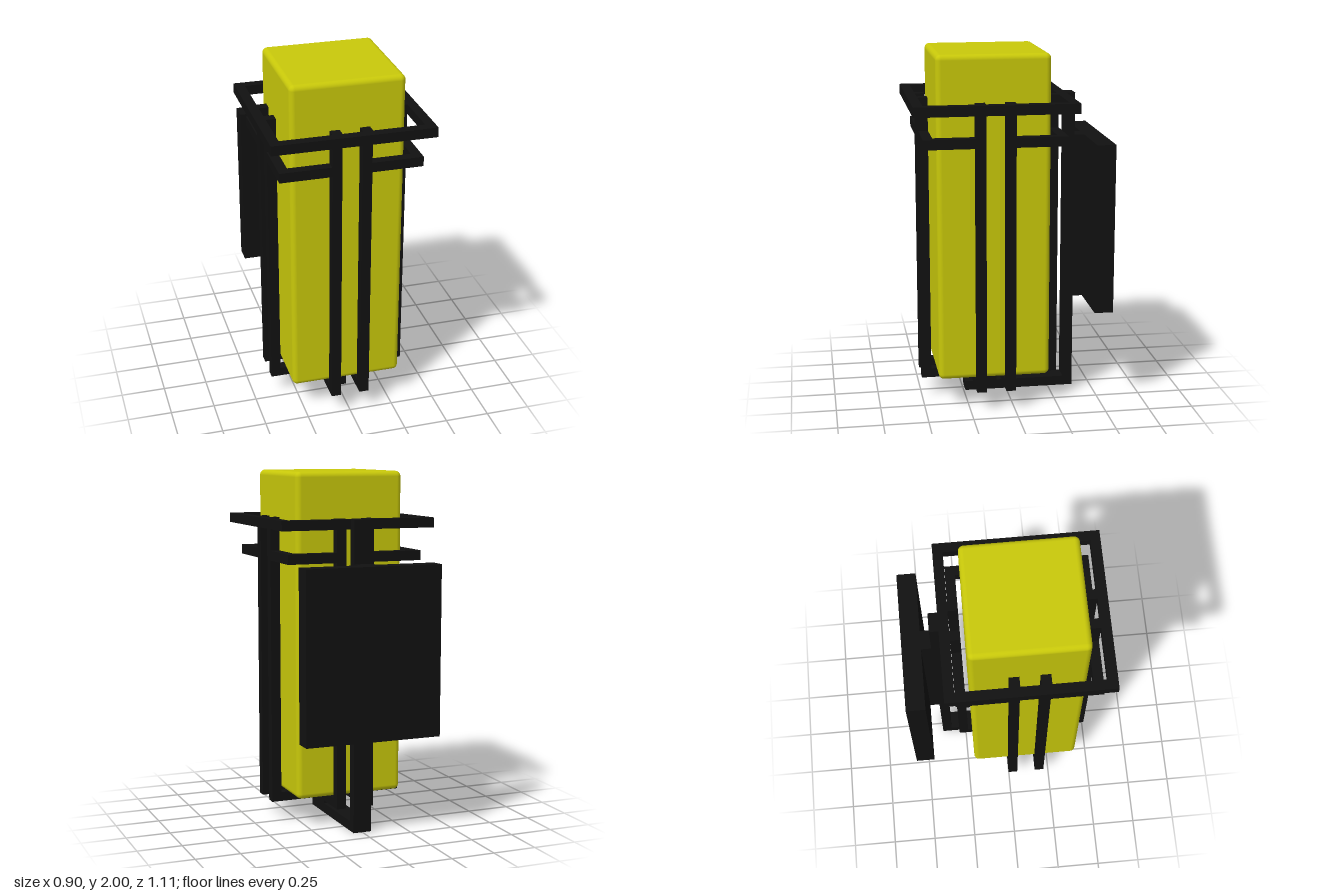
import * as THREE from 'three';
import { RoundedBoxGeometry } from 'three/addons/geometries/RoundedBoxGeometry.js';

const black = new THREE.MeshStandardMaterial({ color: 0x111111 });
const yellow = new THREE.MeshStandardMaterial({ color: 0xc8c80a });

// Bar given by its extents on each axis
function bar(parent, name, [x0, x1], [y0, y1], [z0, z1]) {
  const mesh = new THREE.Mesh(new THREE.BoxGeometry(x1 - x0, y1 - y0, z1 - z0), black);
  mesh.name = name;
  mesh.position.set((x0 + x1) / 2, (y0 + y1) / 2, (z0 + z1) / 2);
  parent.add(mesh);
}

export function createModel() {
  const model = new THREE.Group();
  model.name = 'wallLantern';

  // Lantern body is centred forward of the wall plate
  const lantern = new THREE.Group();
  lantern.name = 'lantern';
  lantern.position.z = 0.105;
  model.add(lantern);

  const shade = new THREE.Mesh(new RoundedBoxGeometry(0.63, 1.83, 0.63, 4, 0.03), yellow);
  shade.name = 'glassShade';
  shade.position.y = 1.085;
  lantern.add(shade);

  // One side of the cage, repeated around the four faces
  for (let i = 0; i < 4; i++) {
    const side = new THREE.Group();
    side.name = 'cageSide';
    side.rotation.y = i * Math.PI / 2;
    lantern.add(side);
    bar(side, 'topRing', [-0.395, 0.45], [1.69, 1.745], [0.395, 0.45]);
    for (const [a, b] of [[-0.11, -0.055], [0.055, 0.11]]) {
      bar(side, 'post', [a, b], [0.115, 1.745], [0.34, 0.395]);
    }
    // Corner brackets stop at the posts, leaving the middle open
    bar(side, 'cornerBracket', [0.11, 0.395], [1.505, 1.56], [0.34, 0.395]);
    bar(side, 'cornerBracket', [-0.34, -0.11], [1.505, 1.56], [0.34, 0.395]);
  }

  // Crossed bars under the shade
  for (const [a, b] of [[-0.11, -0.055], [0.055, 0.11]]) {
    bar(lantern, 'bottomBarDeep', [a, b], [0.115, 0.168], [-0.34, 0.34]);
    bar(lantern, 'bottomBarWide', [-0.34, 0.34], [0.115, 0.167], [a, b]);
  }

  // Support arm and wall plate
  bar(model, 'stem', [-0.053, 0.053], [0.055, 0.165], [0.055, 0.16]);
  bar(model, 'footBar', [-0.053, 0.053], [0, 0.055], [-0.34, 0.24]);
  bar(model, 'backPost', [-0.053, 0.053], [0, 1.745], [-0.395, -0.34]);
  bar(model, 'plateConnector', [-0.053, 0.053], [0.55, 1.505], [-0.45, -0.395]);
  bar(model, 'wallPlate', [-0.395, 0.395], [0.55, 1.505], [-0.555, -0.45]);

  return model;
}
